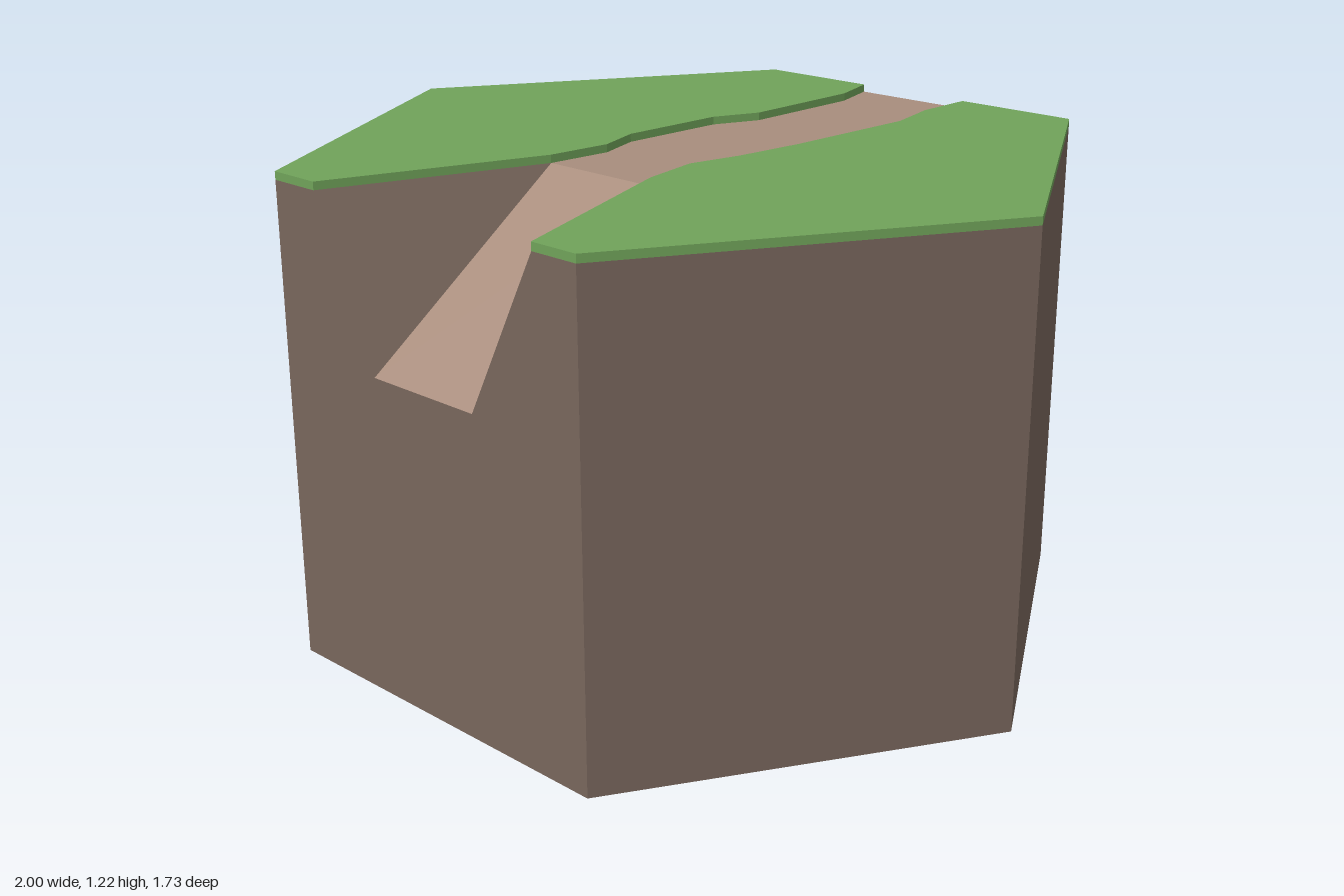
import * as THREE from 'three';

const SOIL_TOP = 1.2, GRASS_TOP = 1.22, RAMP_FOOT = 0.8, RAMP_Z = 0.32, D = Math.sqrt(3) / 2;

// Edges of the winding path as [x, z], from back to front
const leftBank = [[-0.17, -D], [-0.13, -0.73], [-0.13, -0.38], [-0.18, -0.26],
  [-0.19, 0.03], [-0.15, 0.15], [-0.165, RAMP_Z]];
const rightBank = [[0.165, -D], [0.165, -0.7], [0.2, -0.55], [0.185, -0.17],
  [0.165, 0.02], [0.135, 0.16], [0.165, RAMP_Z]];
const notchLeft = -0.355, notchRight = 0.37, rampLeft = -0.17, rampRight = 0.165;

const material = (color) => new THREE.MeshStandardMaterial({ color, flatShading: true, side: THREE.DoubleSide });

// Ground-plan shape from [x, z] points; lay() turns it to face up
const plan = (points) => new THREE.Shape(points.map(([x, z]) => new THREE.Vector2(x, -z)));
const lay = (geometry, y) => geometry.rotateX(-Math.PI / 2).translate(0, y, 0);

// Flat convex face through counter-clockwise corners
function face(corners) {
  const positions = [];
  for (let i = 1; i < corners.length - 1; i++) positions.push(...corners[0], ...corners[i], ...corners[i + 1]);
  const geometry = new THREE.BufferGeometry();
  geometry.setAttribute('position', new THREE.Float32BufferAttribute(positions, 3));
  geometry.computeVertexNormals();
  return geometry;
}

export function createModel() {
  const model = new THREE.Group();
  const grass = material(0x70a35a), soil = material(0x78665c), dirt = material(0xa88d7d);
  const add = (name, geometry, mat) => {
    const mesh = new THREE.Mesh(geometry, mat);
    mesh.name = name;
    model.add(mesh);
  };

  // Five plain walls of the hollow hexagonal block
  const corner = (k, y) => [Math.cos(k * Math.PI / 3), y, Math.sin(k * Math.PI / 3)];
  for (const k of [0, 2, 3, 4, 5]) {
    add('sideWall', face([corner(k + 1, 0), corner(k, 0), corner(k, SOIL_TOP), corner(k + 1, SOIL_TOP)]), soil);
  }

  // Front wall with the ramp notch cut out
  const front = new THREE.Shape([[-0.5, 0], [0.5, 0], [0.5, SOIL_TOP], [notchRight, SOIL_TOP],
    [rampRight, RAMP_FOOT], [rampLeft, RAMP_FOOT], [notchLeft, SOIL_TOP], [-0.5, SOIL_TOP]]
    .map(([x, y]) => new THREE.Vector2(x, y)));
  add('frontWall', new THREE.ShapeGeometry(front).translate(0, 0, D), soil);

  // Sloping banks beside the ramp
  const headL = [-0.165, SOIL_TOP, RAMP_Z], headR = [0.165, SOIL_TOP, RAMP_Z];
  const footL = [rampLeft, RAMP_FOOT, D], footR = [rampRight, RAMP_FOOT, D];
  add('leftBank', face([headR, [notchRight, SOIL_TOP, D], footR]), soil);
  add('rightBank', face([headL, footL, [notchLeft, SOIL_TOP, D]]), soil);

  // Ramp and level path
  add('ramp', face([footL, footR, headR, headL]), dirt);
  add('path', lay(new THREE.ShapeGeometry(plan([...leftBank, ...[...rightBank].reverse()])), SOIL_TOP), dirt);

  // Thin grass slabs either side of the path
  const slab = (points) => lay(new THREE.ExtrudeGeometry(plan(points),
    { depth: GRASS_TOP - SOIL_TOP, bevelEnabled: false }), SOIL_TOP);
  add('rightGrass', slab([...leftBank, [notchLeft, D], [-0.5, D], [-1, 0], [-0.5, -D]]), grass);
  add('leftGrass', slab([...rightBank, [notchRight, D], [0.5, D], [1, 0], [0.5, -D]]), grass);

  return model;
}
